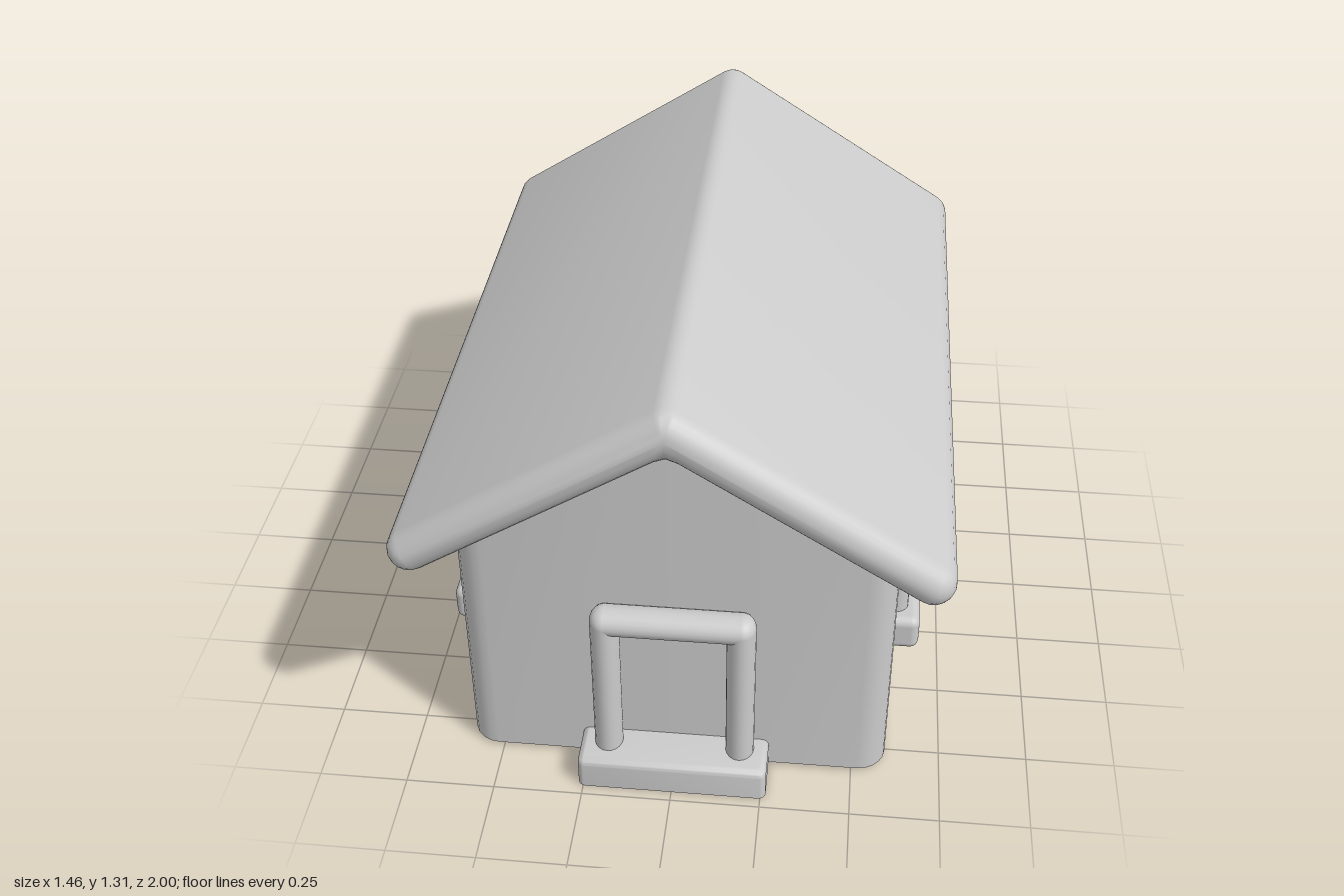
import * as THREE from 'three';
import { toCreasedNormals } from 'three/addons/utils/BufferGeometryUtils.js';
import { RoundedBoxGeometry } from 'three/addons/geometries/RoundedBoxGeometry.js';

const material = new THREE.MeshStandardMaterial({ color: 0xcccccc });

const SLOPE = 0.64, PITCH = Math.atan(SLOPE), RIDGE = 1.2545;
const roofLine = x => RIDGE - SLOPE * Math.abs(x);

function addMesh(parent, name, geometry, x = 0, y = 0, z = 0) {
  const mesh = new THREE.Mesh(geometry, material);
  mesh.name = name;
  mesh.position.set(x, y, z);
  parent.add(mesh);
  return mesh;
}

// Skin a list of closed rings of equal length
function loft(rings, crease) {
  const n = rings[0].length, index = [];
  for (let i = 0; i < rings.length - 1; i++) {
    for (let j = 0; j < n; j++) {
      const a = i * n + j, b = i * n + (j + 1) % n;
      index.push(a, b, b + n, a, b + n, a + n);
    }
  }
  const geometry = new THREE.BufferGeometry();
  geometry.setAttribute('position', new THREE.Float32BufferAttribute(rings.flat(2), 3));
  geometry.setIndex(index);
  return toCreasedNormals(geometry, crease);
}

// Walls: rounded footprint raised to the roof line, closed underneath
function wallGeometry() {
  const W = 0.595, FRONT = 0.84, BACK = -0.87, R = 0.08, plan = [];
  for (let k = 0; k < 4; k++) {
    const cx = (k === 0 || k === 3 ? 1 : -1) * (W - R);
    const cz = k < 2 ? BACK + R : FRONT - R;
    for (let s = 0; s <= 5; s++) {
      const a = (k + s / 5) * Math.PI / 2;
      plan.push([cx + R * Math.cos(a), cz - R * Math.sin(a)]);
    }
    if (k === 0) plan.push([0, BACK]);
    if (k === 2) plan.push([0, FRONT]);
  }
  return loft([
    plan.map(() => [0, 0.01, 0]),
    plan.map(([x, z]) => [x, 0.01, z]),
    plan.map(([x, z]) => [x, roofLine(x), z]),
  ], 0.6);
}

// Roof: chevron section of half-thickness r, shrinking to nothing at both ends
function roofRing(r, z) {
  const EAVE = 0.67, ring = [];
  const arc = (cx, cy, from, to, steps) => {
    for (let s = 0; s <= steps; s++) {
      const a = from + (to - from) * s / steps;
      ring.push([cx + r * Math.cos(a), cy + r * Math.sin(a), z]);
    }
  };
  const H = Math.PI / 2;
  arc(EAVE, roofLine(EAVE), -PITCH - H, -PITCH + H, 8);
  arc(0, RIDGE, H - PITCH, H + PITCH, 6);
  arc(-EAVE, roofLine(EAVE), PITCH + H, PITCH + 3 * H, 8);
  const drop = r / Math.cos(PITCH);
  for (const x of [-0.03, 0, 0.03]) {
    ring.push([x, roofLine(x) - drop - (x === 0 ? 0.15 * r : 0), z]);
  }
  return ring;
}

function roofGeometry() {
  const R = 0.06, rings = [];
  for (const end of [-1, 1]) {
    for (let s = 0; s <= 6; s++) {
      const a = (end < 0 ? s : 6 - s) / 6 * Math.PI / 2;
      rings.push(roofRing(R * Math.sin(a), end * (1 - R + R * Math.cos(a))));
    }
  }
  return loft(rings, 0.8);
}

// Round-bar surround: two posts, a lintel and ball joints, facing +z
function addFrame(parent, halfWidth, bottom, top, r, depth) {
  const frame = new THREE.Group();
  frame.name = 'frame';
  frame.scale.z = depth / r;
  for (const side of [-1, 1]) {
    const x = side * halfWidth;
    addMesh(frame, 'post', new THREE.CylinderGeometry(r, r, top - bottom, 20), x, (top + bottom) / 2);
    addMesh(frame, 'corner', new THREE.SphereGeometry(r, 20, 14), x, top);
  }
  const lintel = addMesh(frame, 'lintel', new THREE.CylinderGeometry(r, r, 2 * halfWidth, 20), 0, top);
  lintel.rotation.z = Math.PI / 2;
  parent.add(frame);
  return frame;
}

// Window with its origin on the wall surface at sill height
function makeWindow(name, x, y, z, turn) {
  const group = new THREE.Group();
  group.name = name;
  addFrame(group, 0.1825, 0, 0.385, 0.035, 0.04).position.z = 0.003;
  addMesh(group, 'sill', new RoundedBoxGeometry(0.51, 0.11, 0.13, 4, 0.025), 0, 0, 0.013);
  group.position.set(x, y, z);
  group.rotation.y = turn;
  return group;
}

export function createModel() {
  const house = new THREE.Group();
  house.name = 'house';
  addMesh(house, 'walls', wallGeometry());
  addMesh(house, 'roof', roofGeometry());

  // Door surround and a step with a flat underside
  const door = new THREE.Group();
  door.name = 'door';
  addFrame(door, 0.185, 0.005, 0.557, 0.04, 0.048).position.z = 0.877;
  const step = new RoundedBoxGeometry(0.53, 0.15, 0.165, 4, 0.022);
  step.translate(0, 0.025, 0);
  const p = step.attributes.position;
  for (let i = 0; i < p.count; i++) {
    if (p.getY(i) < 0) {
      p.setXYZ(i, p.getX(i), 0, p.getZ(i));
    }
  }
  addMesh(door, 'doorStep', toCreasedNormals(step, 0.6), 0, 0, 0.8875);
  house.add(door);

  // Two windows on each long side, one at the back
  for (const side of [-1, 1]) {
    for (const z of [0.34, -0.365]) {
      house.add(makeWindow('sideWindow', side * 0.595, 0.305, z, side * Math.PI / 2));
    }
  }
  house.add(makeWindow('backWindow', 0, 0.235, -0.876, Math.PI));
  return house;
}
